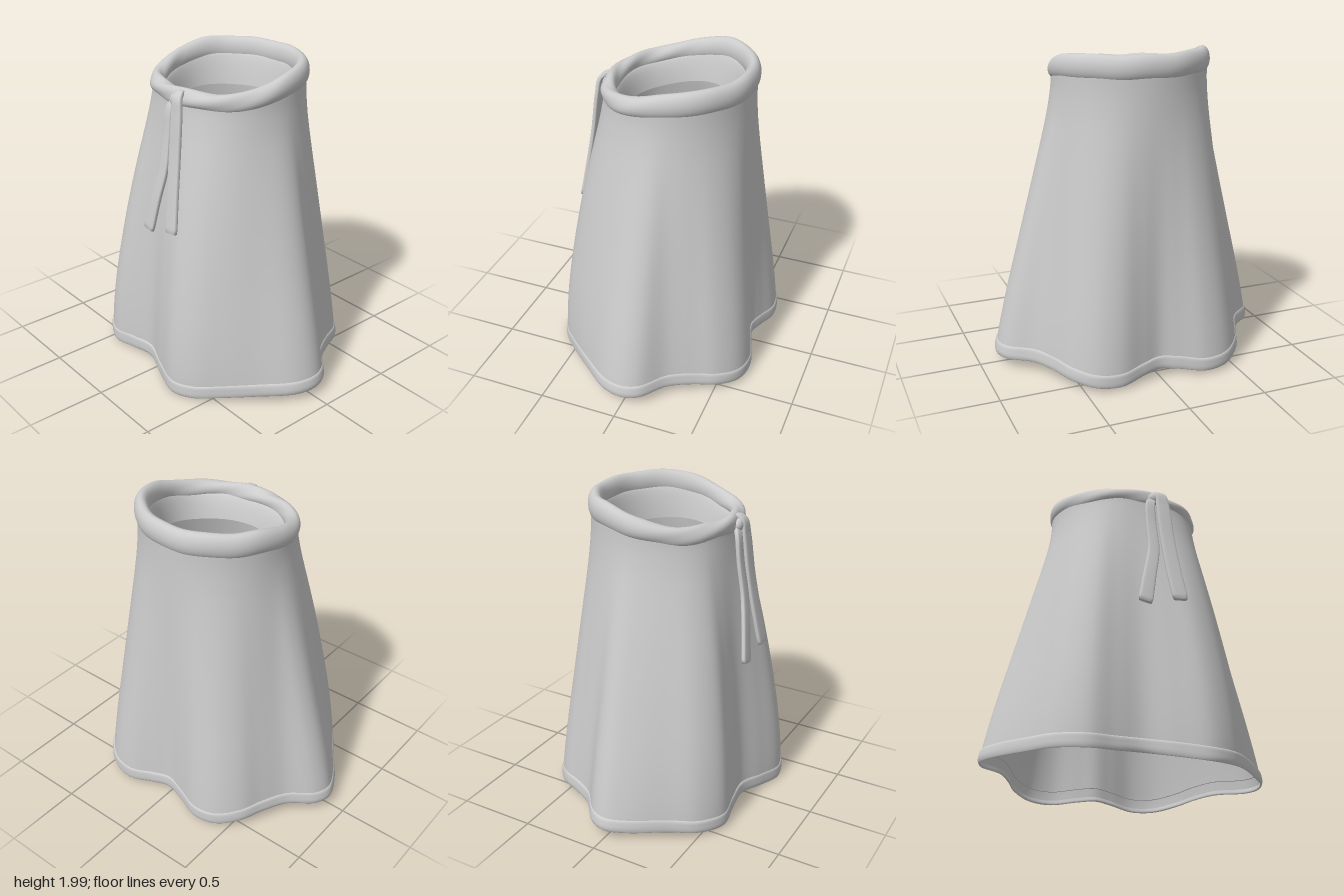
import * as THREE from 'three';

const V = (x, y, z) => new THREE.Vector3(x, y, z);
const { smoothstep, lerp, clamp } = THREE.MathUtils;
const material = new THREE.MeshStandardMaterial({ color: 0xcccccc, side: THREE.DoubleSide });
const CZ = -0.06; // centre of the waist in z

// Smooth surface through rows of points; closed around, optionally closed along too.
function loft(name, cols, rows, fn, closeRows = false) {
  const pos = [], index = [];
  const count = closeRows ? rows : rows + 1;
  for (let j = 0; j < count; j++)
    for (let i = 0; i < cols; i++) pos.push(...fn(i / cols, j / rows).toArray());
  for (let j = 0; j < rows; j++)
    for (let i = 0; i < cols; i++) {
      const k = (i + 1) % cols, n = (j + 1) % count;
      const a = j * cols + i, b = j * cols + k, c = n * cols + k, d = n * cols + i;
      index.push(a, d, c, a, c, b);
    }
  const g = new THREE.BufferGeometry();
  g.setAttribute('position', new THREE.Float32BufferAttribute(pos, 3));
  g.setIndex(index);
  g.computeVertexNormals();
  const mesh = new THREE.Mesh(g, material);
  mesh.name = name;
  return mesh;
}

// Lower edge of the skirt, with its six flared folds
const hemCurve = new THREE.CatmullRomCurve3([
  [0.883, 0.065, 0], [0.85, 0.06, 0.13], [0.71, 0.05, 0.31], [0.56, 0.035, 0.48], [0.43, 0.015, 0.595],
  [0.28, 0.006, 0.648], [0.1, 0.025, 0.605], [-0.08, 0.045, 0.545], [-0.25, 0.035, 0.565], [-0.42, 0.025, 0.59],
  [-0.58, 0.035, 0.5], [-0.69, 0.05, 0.34], [-0.83, 0.06, 0.14], [-0.883, 0.065, 0], [-0.85, 0.07, -0.105],
  [-0.71, 0.08, -0.235], [-0.625, 0.075, -0.38], [-0.555, 0.06, -0.52], [-0.43, 0.035, -0.625],
  [-0.28, 0.03, -0.652], [-0.12, 0.05, -0.605], [0, 0.06, -0.575], [0.12, 0.05, -0.605], [0.28, 0.03, -0.652],
  [0.43, 0.035, -0.625], [0.555, 0.06, -0.52], [0.625, 0.075, -0.38], [0.71, 0.08, -0.235], [0.85, 0.07, -0.105],
].map(p => V(...p)), true);

// Share of the hem flare left at each height
const flare = [[0.1, 1], [0.4, 0.845], [0.8, 0.59], [1.2, 0.33], [1.5, 0.135], [1.65, 0.05], [1.8, 0], [2.1, 0]];
function flareAt(y) {
  if (y <= flare[0][0]) return 1;
  const i = flare.findIndex(p => p[0] > y);
  const [y0, f0] = flare[i - 1], [y1, f1] = flare[i];
  const slope = k => k === 0 ? -0.4 : k === flare.length - 1 ? 0
    : (flare[k + 1][1] - flare[k - 1][1]) / (flare[k + 1][0] - flare[k - 1][0]);
  const h = y1 - y0, t = (y - y0) / h, t2 = t * t, t3 = t2 * t;
  return f0 * (2 * t3 - 3 * t2 + 1) + f1 * (3 * t2 - 2 * t3)
    + h * (slope(i - 1) * (t3 - 2 * t2 + t) + slope(i) * (t3 - t2));
}

// Waist outline, slightly squared at the front, and the backward-rising tilt of the band
const waistRadius = a => 0.481 + 0.016 * Math.cos(2 * a)
  + 0.012 * Math.max(0, Math.sin(a)) * Math.sin(2 * a) ** 2;
const backness = a => smoothstep(-Math.sin(a), -0.8, 0.5);
const bandY = a => 1.83 + 0.09 * backness(a);

// Point on the cloth at position u around and height y, pushed out by off
function cloth(u, y, off = 0) {
  const hem = hemCurve.getPoint(u);
  const a = Math.atan2(hem.z - CZ, hem.x);
  const dir = V(Math.cos(a), 0, Math.sin(a));
  // the front hangs fuller than the sides and back
  const s = clamp((y - 0.1) / 1.7, 0, 1);
  const f = flareAt(y) + 0.52 * s * (1 - s) * smoothstep(Math.sin(a), 0.2, 0.9);
  const p = dir.clone().multiplyScalar(waistRadius(a) - 0.014).add(V(0, 0, CZ)).lerp(hem, f);
  p.addScaledVector(dir, off);
  p.y = y;
  return p;
}

// Flat fabric strip with square ends following a path; sections are [x, y, z, width]
function strip(name, sections, thickness) {
  const rows = 46;
  const path = new THREE.CatmullRomCurve3(sections.map(s => V(s[0], s[1], s[2])));
  const widths = new THREE.CatmullRomCurve3(sections.map(s => V(s[3], s[1], 0)));
  const soft = v => Math.sign(v) * Math.sqrt(Math.abs(v));
  return loft(name, 20, rows, (u, v) => {
    const row = Math.round(v * rows), fromEnd = Math.min(row, rows - row);
    const k = clamp((row - 1) / (rows - 2), 0, 1);
    const a = u * Math.PI * 2, p = path.getPoint(k), t = path.getTangent(k);
    const side = V(1, 0, 0).addScaledVector(t, -t.x).normalize();
    const out = side.clone().cross(t).normalize();
    const cap = [0, 0.9][fromEnd] ?? 1;
    return p.addScaledVector(side, soft(Math.cos(a)) * widths.getPoint(k).x / 2 * cap)
      .addScaledVector(out, soft(Math.sin(a)) * thickness / 2 * cap);
  });
}

export function createModel() {
  const group = new THREE.Group();
  group.name = 'skirt';

  // Main cloth, from the hem seam up into the waistband
  group.add(loft('skirtCloth', 180, 50, (u, v) => {
    const hem = hemCurve.getPoint(u);
    const top = bandY(Math.atan2(hem.z - CZ, hem.x));
    return cloth(u, lerp(hem.y + 0.03, top, v));
  }));

  // Rolled hem: [height, outward offset] around the fold
  const roll = new THREE.CatmullRomCurve3([
    [0.088, -0.003], [0.078, 0.006], [0.05, 0.009], [0.018, 0.009], [0, 0.002], [0.008, -0.004], [0.03, 0],
  ].map(p => V(p[1], p[0], 0)));
  group.add(loft('hem', 180, 20, (u, v) => {
    const r = roll.getPoint(v), y = hemCurve.getPoint(u).y;
    const pinch = 1 + 0.25 * Math.sin(u * Math.PI * 14) * Math.sin(u * Math.PI * 6);
    return cloth(u, y + r.y, r.x * pinch);
  }));

  // Padded waistband with twisted creases at the front
  group.add(loft('waistband', 24, 180, (u, v) => {
    const a = v * Math.PI * 2, q = -u * Math.PI * 2;
    const front = Math.pow(Math.max(0, Math.sin(a)), 0.7);
    const twist = 1 + 0.09 * front * Math.sin(3 * q + 7 * a) + 0.03 * Math.sin(9 * a + q);
    const r = waistRadius(a) - 0.045 + 0.046 * twist * Math.cos(q);
    const h = (0.055 + 0.022 * backness(a)) * twist;
    return V(r * Math.cos(a), bandY(a) + h * Math.sin(q), CZ + r * Math.sin(a));
  }, true));

  // Inner facing that narrows below the band
  group.add(loft('innerFacing', 120, 10, (u, v) => {
    const a = u * Math.PI * 2, s = Math.sqrt(v);
    const r = waistRadius(a) - 0.06;
    const hole = 1 - 0.025 * (1 - Math.cos(4 * a)) / 2;
    const x = lerp(r, 0.375 * hole, s), z = lerp(r, 0.33 * hole, s);
    return V(x * Math.cos(a), lerp(bandY(a), 1.67 + 0.03 * backness(a), v), CZ + z * Math.sin(a));
  }));

  // Drawstring: two hanging ends and the knot over the band
  group.add(strip('leftTie', [
    [0.07, 1.84, 0.35, 0.04], [0.08, 1.868, 0.38, 0.05], [0.095, 1.845, 0.418, 0.07], [0.105, 1.75, 0.435, 0.09],
    [0.118, 1.5, 0.465, 0.095], [0.14, 1.25, 0.505, 0.098], [0.165, 1.04, 0.54, 0.098],
  ], 0.03));
  group.add(strip('rightTie', [
    [0.06, 1.82, 0.39, 0.045], [0.025, 1.77, 0.42, 0.06], [0.018, 1.6, 0.443, 0.068],
    [0.02, 1.4, 0.475, 0.075], [-0.02, 1.2, 0.51, 0.083], [-0.062, 0.99, 0.54, 0.092],
  ], 0.03));
  const knot = new THREE.Mesh(new THREE.SphereGeometry(1, 24, 16), material);
  knot.name = 'knot';
  knot.scale.set(0.045, 0.04, 0.028);
  knot.position.set(0.06, 1.82, 0.405);
  group.add(knot);

  return group;
}
